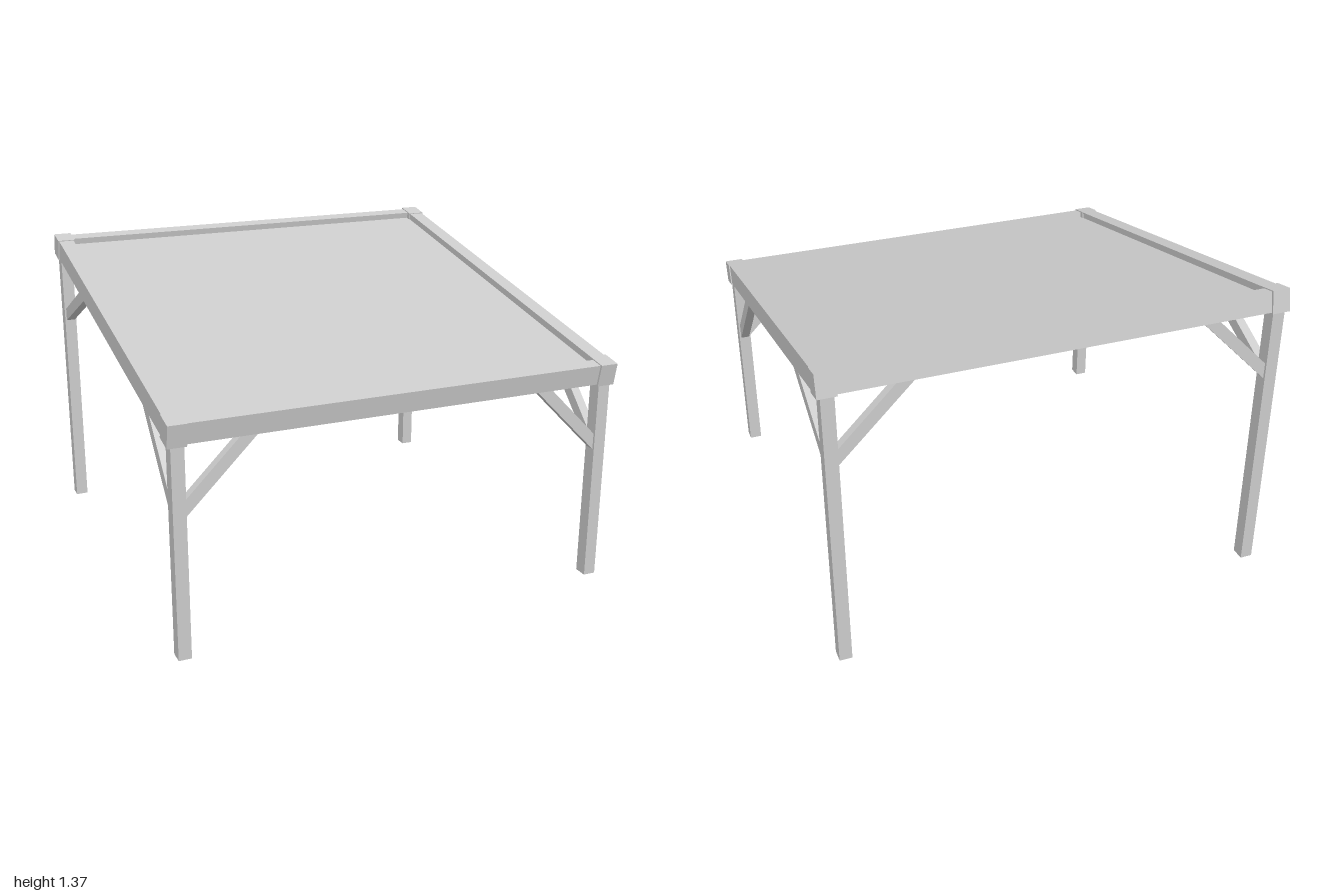
import * as THREE from 'three';

const material = new THREE.MeshStandardMaterial({ color: 0xcccccc, flatShading: true });
const PITCH = 0.1927; // roof slope, falling towards the front
const ROOF_Y = 1.137;
const roofY = (z) => ROOF_Y - z * Math.tan(PITCH);

function addBox(parent, name, size, position) {
  const mesh = new THREE.Mesh(new THREE.BoxGeometry(...size), material);
  mesh.name = name;
  mesh.position.set(...position);
  parent.add(mesh);
  return mesh;
}

// Diagonal strut: a four-cornered outline in (across, y), extruded to a thin bar
function addBrace(parent, name, outline, alongZ, offset) {
  const width = 0.04;
  const shape = new THREE.Shape(outline.map(([a, y]) => new THREE.Vector2(a, y)));
  const geometry = new THREE.ExtrudeGeometry(shape, { depth: width, bevelEnabled: false });
  geometry.translate(0, 0, -width / 2);
  if (alongZ) geometry.rotateY(-Math.PI / 2);
  const mesh = new THREE.Mesh(geometry, material);
  mesh.name = name;
  if (alongZ) mesh.position.x = offset;
  else mesh.position.z = offset;
  parent.add(mesh);
}

export function createModel() {
  const model = new THREE.Group();
  model.name = 'pergola';

  // Tilted roof frame
  const roof = new THREE.Group();
  roof.name = 'roof';
  roof.position.y = ROOF_Y;
  roof.rotation.x = PITCH;
  model.add(roof);

  addBox(roof, 'roofPanel', [1.85, 0.02, 1.83], [0, 0.007, 0]);

  for (const s of [1, -1]) {
    addBox(roof, s > 0 ? 'leftBeam' : 'rightBeam', [0.07, 0.093, 1.9], [s * 0.96, 0, 0]);
    addBox(roof, s > 0 ? 'frontBeam' : 'backBeam', [1.86, 0.091, 0.057], [0, 0, s * 0.929]);
    for (const e of [1, -1]) {
      addBox(roof, 'cornerCap', [0.08, 0.1, 0.09], [s * 0.96, 0, e * 0.922]);
    }
  }

  // Purlins under the panel
  for (const z of [-0.6, 0.15]) {
    addBox(roof, 'purlin', [1.85, 0.045, 0.045], [0, -0.022, z]);
  }

  // Posts and their braces
  for (const s of [1, -1]) {
    const x = s * 0.957;
    for (const z of [0.9025, -0.915]) {
      const top = roofY(z);
      addBox(model, z > 0 ? 'frontPost' : 'backPost', [0.055, top, 0.061], [x, top / 2, z]);
    }

    // Braces to the sloping side beams, as [z, y]
    addBrace(model, 'frontSideBrace',
      [[0.88, 0.598], [0.88, 0.67], [0.56, 0.99], [0.475, 1.003]], true, x);
    addBrace(model, 'backSideBrace',
      [[-0.89, 0.942], [-0.89, 1.001], [-0.48, 1.196], [-0.38, 1.18]], true, x);

    // Braces to the cross beams, as [x, y]
    for (const [low, high, z] of [[0.607, 0.927, 0.9025], [0.955, 1.275, -0.915]]) {
      addBrace(model, z > 0 ? 'frontCrossBrace' : 'backCrossBrace',
        [[0.937, low - 0.007], [0.937, low + 0.065], [0.683, high], [0.61, high]]
          .map(([a, y]) => [s * a, y]), false, z);
    }
  }
  return model;
}
